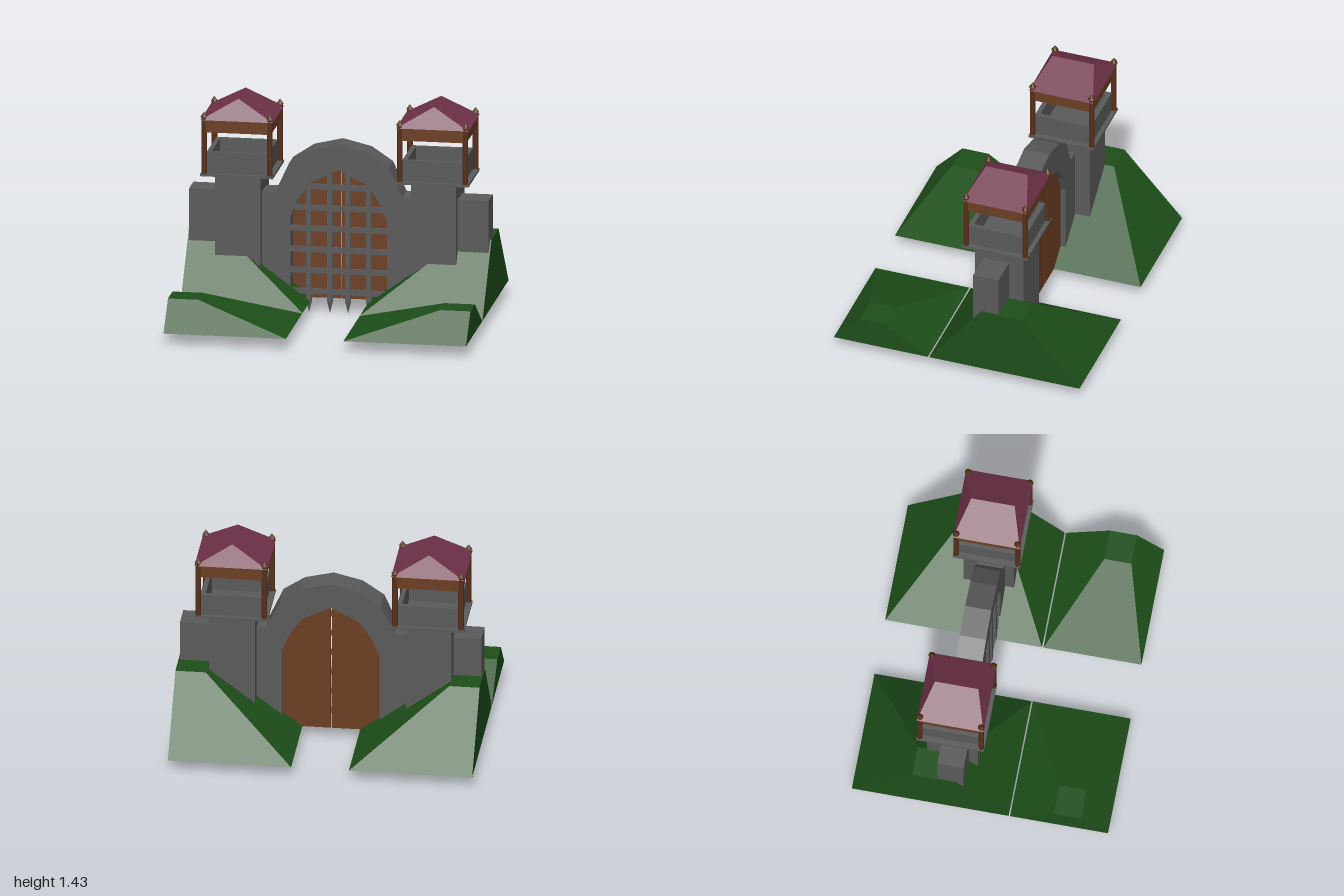
import * as THREE from 'three';

const mat = (color) => new THREE.MeshStandardMaterial({ color, flatShading: true });
const stone = mat(0x5a5a5a), wood = mat(0x6b3e23), darkWood = mat(0x56301a);
const tile = mat(0x70324a), grass = mat(0x1e4f1a);
const GROUND = 0.075;

function add(parent, name, geometry, material, x = 0, y = 0, z = 0) {
  const mesh = new THREE.Mesh(geometry, material);
  mesh.name = name;
  mesh.position.set(x, y, z);
  parent.add(mesh);
  return mesh;
}

// Box given by its limits on each axis
function block(parent, name, material, [x0, x1], [y0, y1], [z0, z1]) {
  return add(parent, name, new THREE.BoxGeometry(x1 - x0, y1 - y0, z1 - z0), material,
    (x0 + x1) / 2, (y0 + y1) / 2, (z0 + z1) / 2);
}

const toShape = (points) => new THREE.Shape(points.map(([x, y]) => new THREE.Vector2(x, y)));
const mirrored = (half) => [...half, ...half.filter(([x]) => x !== 0).reverse().map(([x, y]) => [-x, y])];
const extrude = (shape, depth) => new THREE.ExtrudeGeometry(shape, { depth, bevelEnabled: false });

function facesToGeometry(triangles) {
  const geometry = new THREE.BufferGeometry();
  geometry.setAttribute('position', new THREE.Float32BufferAttribute(triangles.flat(2), 3));
  geometry.computeVertexNormals();
  return geometry;
}

// Bank: level outer part, then sloping down to the path. profile = [z, y] from front to back
function bankGeometry(profile, side) {
  const rows = [[1, 1], [0.8, 1], [0.19, 0]].map(([x, k]) =>
    profile.map(([z, y]) => [x * side, GROUND + (y - GROUND) * k, z]));
  const tris = [];
  for (let r = 0; r < 2; r++) {
    for (let i = 0; i < 3; i++) {
      const a = rows[r][i], b = rows[r][i + 1], c = rows[r + 1][i + 1], d = rows[r + 1][i];
      if (i === 2) tris.push([a, b, c], [a, c, d]);
      else tris.push([a, b, d], [b, c, d]);
    }
  }
  // outer end and underside
  const [p, q, s, t] = rows[0], u = rows[2][0], v = rows[2][3];
  tris.push([p, t, s], [p, s, q], [p, u, v], [p, v, t]);
  return facesToGeometry(side > 0 ? tris : tris.map(([a, b, c]) => [a, c, b]));
}

// Hipped roof with its ridge along z
function roofGeometry(hx, hz, ridge, height) {
  const a = [-hx, 0, hz], b = [hx, 0, hz], c = [hx, 0, -hz], d = [-hx, 0, -hz];
  const f = [0, height, ridge], k = [0, height, -ridge];
  return facesToGeometry([[a, b, f], [c, d, k], [b, c, k], [b, k, f], [d, a, f], [d, f, k],
    [a, d, c], [a, c, b]]);
}

function createTower(name, x) {
  const tower = new THREE.Group();
  tower.name = name;
  tower.position.set(x, 0, -0.218);
  block(tower, 'towerShaft', stone, [-0.15, 0.15], [GROUND, 0.92], [-0.168, 0.168]);
  block(tower, 'platform', stone, [-0.24, 0.24], [0.92, 0.936], [-0.224, 0.224]);
  for (const s of [-1, 1]) {
    // parapet
    block(tower, 'parapetSide', stone, [s * 0.187 - 0.015, s * 0.187 + 0.015], [0.936, 1.078], [-0.195, 0.195]);
    block(tower, 'parapetEnd', stone, [-0.172, 0.172], [0.936, 1.078], [s * 0.18 - 0.015, s * 0.18 + 0.015]);
    // beams under the roof
    block(tower, 'sideBeam', wood, [s * 0.215 - 0.01, s * 0.215 + 0.01], [1.215, 1.298], [-0.2, 0.2]);
    block(tower, 'endBeam', wood, [-0.215, 0.215], [1.215, 1.298], [s * 0.203 - 0.01, s * 0.203 + 0.01]);
    // corner posts with pointed caps
    for (const t of [-1, 1]) {
      add(tower, 'post', new THREE.CylinderGeometry(0.019, 0.019, 0.384, 8), darkWood, s * 0.217, 1.128, t * 0.204);
      add(tower, 'postCap', new THREE.ConeGeometry(0.024, 0.035, 8), darkWood, s * 0.217, 1.335, t * 0.204);
    }
  }
  add(tower, 'roof', roofGeometry(0.24, 0.222, 0.144, 0.135), tile, 0, 1.298, 0);
  return tower;
}

export function createModel() {
  const model = new THREE.Group();
  model.name = 'gatehouse';

  // Grass banks on both sides of the path
  for (const [side, label] of [[1, 'left'], [-1, 'right']]) {
    add(model, label + 'Hill', bankGeometry([[0.19, GROUND], [-0.17, 0.53], [-0.45, 0.53], [-0.85, GROUND]], side), grass);
    add(model, label + 'Mound', bankGeometry([[0.85, GROUND], [0.67, 0.265], [0.49, 0.265], [0.2, GROUND]], side), grass);
  }

  // Wall with arched gateway
  const opening = [[0.32, GROUND], [0.32, 0.635], [0.27, 0.757], [0.188, 0.875], [0, 0.97]];
  const wall = toShape(mirrored([[0.99, GROUND], [0.99, 0.803], [0.42, 0.803], [0.33, 1], [0.19, 1.094], [0, 1.14]]
    .concat()).concat([[-0.32, GROUND]], mirrored(opening).reverse().slice(1)));
  add(model, 'wall', extrude(wall, 0.175), stone, 0, 0, -0.285);

  // Two door leaves with a narrow gap
  for (const s of [1, -1]) {
    const leaf = opening.map(([x, y]) => [s * Math.max(x, 0.004), y]);
    add(model, s > 0 ? 'leftDoor' : 'rightDoor', extrude(toShape([[s * 0.004, GROUND], ...leaf]), 0.03), wood, 0, 0, -0.25);
  }

  // Portcullis
  const portcullis = new THREE.Group();
  portcullis.name = 'portcullis';
  model.add(portcullis);
  for (const x of [-0.337, -0.198, -0.06, 0.06, 0.198, 0.337]) {
    const top = 0.96 - Math.max(0, Math.abs(x) - 0.06) * 0.6;
    block(portcullis, 'uprightBar', stone, [x - 0.018, x + 0.018], [GROUND, top], [-0.136, -0.113]);
    const spike = add(portcullis, 'spike', new THREE.ConeGeometry(0.02, 0.075, 6), stone, x, GROUND / 2, -0.122);
    spike.rotation.x = Math.PI;
    spike.scale.z = 0.6;
  }
  for (let i = 0; i < 6; i++) {
    const y = 0.142 + i * 0.1412;
    block(portcullis, 'crossBar', stone, [-0.337, 0.337], [y - 0.018, y + 0.018], [-0.134, -0.115]);
  }

  model.add(createTower('leftTower', 0.636), createTower('rightTower', -0.657));
  return model;
}
